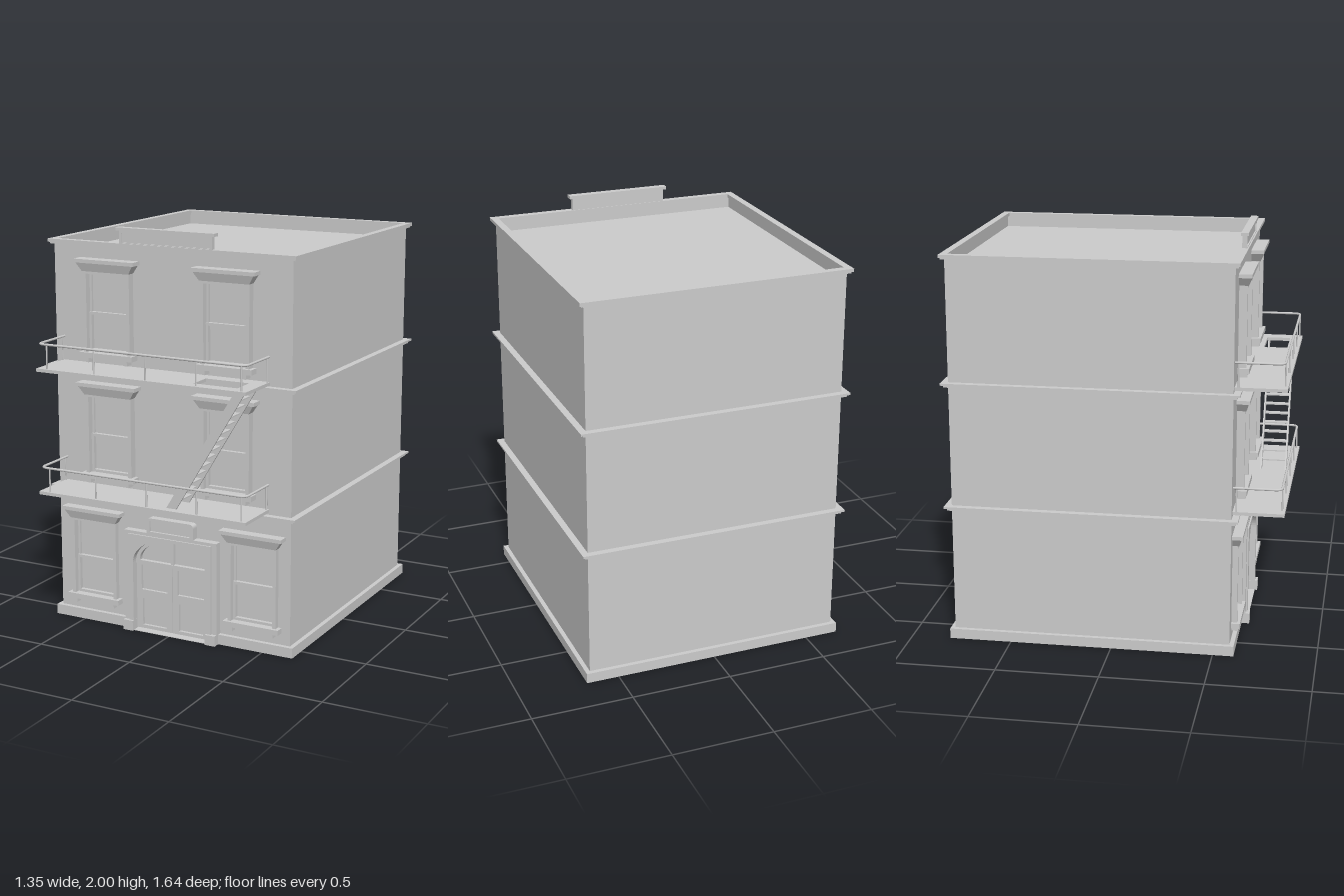
import * as THREE from 'three';

const material = new THREE.MeshStandardMaterial({ color: 0xcccccc, side: THREE.DoubleSide });
const X0 = -0.645, X1 = 0.64, Z0 = -0.785, Z1 = 0.58; // outer wall planes
const DOOR_X = 0.007;

function add(parent, name, geometry) {
  const mesh = new THREE.Mesh(geometry, material);
  mesh.name = name;
  parent.add(mesh);
  return mesh;
}

function box(parent, name, x0, x1, y0, y1, z0, z1) {
  const g = new THREE.BoxGeometry(x1 - x0, y1 - y0, z1 - z0);
  g.translate((x0 + x1) / 2, (y0 + y1) / 2, (z0 + z1) / 2);
  return add(parent, name, g);
}

function rect(x0, x1, y0, y1, Type = THREE.Shape) {
  return new Type([[x0, y0], [x1, y0], [x1, y1], [x0, y1]].map(([x, y]) => new THREE.Vector2(x, y)));
}

function extrude(parent, name, shape, z0, z1) {
  const g = new THREE.ExtrudeGeometry(shape, { depth: z1 - z0, bevelEnabled: false, curveSegments: 20 });
  g.translate(0, 0, z0);
  return add(parent, name, g);
}

// Rectangular moulding running around the walls
function ring(parent, name, out, y0, y1, inset = 0.005) {
  const s = rect(X0 - out, X1 + out, -Z1 - out, -Z0 + out);
  s.holes.push(rect(X0 + inset, X1 - inset, -Z1 + inset, -Z0 - inset, THREE.Path));
  const g = new THREE.ExtrudeGeometry(s, { depth: y1 - y0, bevelEnabled: false });
  g.rotateX(-Math.PI / 2).translate(0, y0, 0);
  return add(parent, name, g);
}

// Flat frame with a rectangular opening
function frame(parent, name, x0, x1, y0, y1, w, z0, z1) {
  const s = rect(x0, x1, y0, y1);
  s.holes.push(rect(x0 + w, x1 - w, y0 + w, y1 - w, THREE.Path));
  return extrude(parent, name, s, z0, z1);
}

// Door opening outline: straight jambs under a low elliptical arch
function archOutline(half, bottom, spring, rise, Type = THREE.Path) {
  const p = new Type();
  p.moveTo(DOOR_X - half, bottom);
  p.lineTo(DOOR_X + half, bottom);
  p.lineTo(DOOR_X + half, spring);
  p.absellipse(DOOR_X, spring, half, rise, 0, Math.PI, false, 0);
  p.lineTo(DOOR_X - half, bottom);
  return p;
}

// Sash window; origin at the middle of the cornice top, on the wall plane
function makeWindow(x, top, push) {
  const g = new THREE.Group();
  g.name = 'window';
  g.position.set(x, top, Z1 + push);
  box(g, 'cornice cap', -0.166, 0.166, -0.018, 0, -0.01, 0.064);
  const flare = new THREE.BoxGeometry(2, 0.042, 1);
  const p = flare.attributes.position;
  for (let i = 0; i < p.count; i++) {
    const up = p.getY(i) > 0;
    p.setX(i, Math.sign(p.getX(i)) * (up ? 0.158 : 0.13));
    p.setZ(i, p.getZ(i) > 0 ? (up ? 0.058 : 0.045) : -0.01);
  }
  flare.translate(0, -0.039, 0);
  flare.computeVertexNormals();
  add(g, 'cornice flare', flare);
  for (const s of [-1, 1]) {
    const a = s * 0.12;
    box(g, 'side casing', a - 0.009, a + 0.009, -0.455, -0.06, -0.01, 0.04);
    box(g, 'sill bracket', s * 0.108 - 0.007, s * 0.108 + 0.007, -0.505, -0.478, -0.01, 0.045);
  }
  box(g, 'head casing', -0.128, 0.128, -0.072, -0.06, -0.01, 0.04);
  box(g, 'sill', -0.148, 0.148, -0.481, -0.455, -0.01, 0.055);
  frame(g, 'upper sash', -0.112, 0.112, -0.275, -0.068, 0.012, -0.01, 0.006);
  frame(g, 'lower sash', -0.112, 0.112, -0.456, -0.26, 0.014, -0.005, 0.015);
  box(g, 'glass', -0.112, 0.112, -0.456, -0.068, -0.012, -0.006);
  return g;
}

function makeBalcony(y, hatch) {
  const g = new THREE.Group();
  g.name = 'balcony';
  const s = rect(-0.605, 0.525, -0.827, -Z1);
  if (hatch) s.holes.push(rect(0.225, 0.452, -0.767, -0.648, THREE.Path));
  const floor = new THREE.ExtrudeGeometry(s, { depth: 0.016, bevelEnabled: false });
  floor.rotateX(-Math.PI / 2).translate(0, y, 0);
  add(g, 'balcony floor', floor);
  // Handrail with rounded corners
  const v = (x, z) => new THREE.Vector3(x, y + 0.134, z);
  const l = -0.599, r = 0.519, f = 0.813, c = 0.035;
  const path = new THREE.CurvePath();
  path.add(new THREE.LineCurve3(v(l, Z1 - 0.01), v(l, f - c)));
  path.add(new THREE.QuadraticBezierCurve3(v(l, f - c), v(l, f), v(l + c, f)));
  path.add(new THREE.LineCurve3(v(l + c, f), v(r - c, f)));
  path.add(new THREE.QuadraticBezierCurve3(v(r - c, f), v(r, f), v(r, f - c)));
  path.add(new THREE.LineCurve3(v(r, f - c), v(r, Z1 - 0.01)));
  add(g, 'handrail', new THREE.TubeGeometry(path, 180, 0.006, 8));
  const posts = [[l, 0.597], [r, 0.597], [-0.55, f], [-0.287, f], [-0.006, f], [0.263, f], [0.497, f]];
  for (const [x, z] of posts) {
    add(g, 'railing post', new THREE.CylinderGeometry(0.004, 0.004, 0.13, 8)).position.set(x, y + 0.069, z);
  }
  return g;
}

function makeStair() {
  const g = new THREE.Group();
  g.name = 'fire stair';
  const s = new THREE.Shape([[0.085, 0.715], [0.138, 0.715], [0.5, 1.312], [0.447, 1.312]].map(([x, y]) => new THREE.Vector2(x, y)));
  extrude(g, 'stringer', s, 0.652, 0.66);
  extrude(g, 'stringer', s, 0.778, 0.786);
  for (let i = 0; i < 13; i++) {
    const t = (i + 1) / 14, x = 0.112 + 0.361 * t, y = 0.715 + 0.597 * t;
    box(g, 'tread', x - 0.018, x + 0.018, y - 0.003, y + 0.003, 0.66, 0.778);
  }
  return g;
}

function makeEntrance() {
  const g = new THREE.Group();
  g.name = 'entrance';
  const d = DOOR_X;
  // Stepped surround and rounded plaque
  const outer = rect(d - 0.257, d + 0.257, 0, 0.515);
  outer.holes.push(archOutline(0.204, 0.003, 0.355, 0.135));
  extrude(g, 'door surround', outer, 0.57, 0.62);
  const inner = rect(d - 0.23, d + 0.23, 0, 0.5);
  inner.holes.push(archOutline(0.204, 0.003, 0.355, 0.135));
  extrude(g, 'inner surround', inner, 0.6, 0.628);
  for (const s of [-1, 1]) {
    const a = d + s * 0.23;
    box(g, 'plinth', a - 0.027, a + 0.027, 0, 0.052, 0.58, 0.64);
  }
  const plaque = new THREE.Shape();
  plaque.moveTo(d - 0.13, 0.512);
  plaque.lineTo(d + 0.13, 0.512);
  plaque.lineTo(d + 0.13, 0.57);
  plaque.quadraticCurveTo(d + 0.13, 0.592, d + 0.108, 0.592);
  plaque.lineTo(d - 0.108, 0.592);
  plaque.quadraticCurveTo(d - 0.13, 0.592, d - 0.13, 0.57);
  plaque.holes.push(rect(d - 0.112, d + 0.112, 0.524, 0.578, THREE.Path));
  extrude(g, 'plaque frame', plaque, 0.575, 0.62);
  box(g, 'plaque panel', d - 0.112, d + 0.112, 0.524, 0.578, 0.575, 0.608);
  // Fanlight
  const fan = archOutline(0.204, 0.345, 0.355, 0.135, THREE.Shape);
  fan.holes.push(archOutline(0.182, 0.362, 0.363, 0.11));
  extrude(g, 'fanlight frame', fan, 0.572, 0.598);
  box(g, 'fanlight bar', d - 0.007, d + 0.007, 0.355, 0.478, 0.572, 0.594);
  extrude(g, 'fanlight glass', archOutline(0.204, 0.345, 0.355, 0.135, THREE.Shape), 0.57, 0.575);
  // Pair of panelled doors
  for (const s of [-1, 1]) {
    const c = d + s * 0.102;
    const leaf = rect(c - 0.1, c + 0.1, 0.008, 0.352);
    leaf.holes.push(rect(c - 0.073, c + 0.073, 0.21, 0.338, THREE.Path));
    leaf.holes.push(rect(c - 0.067, c + 0.067, 0.025, 0.165, THREE.Path));
    extrude(g, 'door leaf', leaf, 0.572, 0.595);
    box(g, 'door panels', c - 0.1, c + 0.1, 0.008, 0.345, 0.57, 0.58);
  }
  return g;
}

export function createModel() {
  const model = new THREE.Group();
  model.name = 'building';
  const windows = [[-0.437, 0.59, -0.012], [0.447, 0.59, -0.012]];
  for (const top of [1.235, 1.842]) windows.push([-0.333, top, 0], [0.308, top, 0]);

  // Hollow shell, open underneath
  const TOP = 1.91;
  const front = rect(X0, X1, 0, TOP);
  for (const [x, top] of windows) front.holes.push(rect(x - 0.115, x + 0.115, top - 0.46, top - 0.066, THREE.Path));
  front.holes.push(archOutline(0.204, 0.003, 0.355, 0.135));
  const wall = new THREE.ShapeGeometry(front, 20);
  wall.translate(0, 0, Z1);
  add(model, 'front wall', wall);
  const w = X1 - X0, d = Z1 - Z0, mx = (X0 + X1) / 2, mz = (Z0 + Z1) / 2;
  add(model, 'back wall', new THREE.PlaneGeometry(w, TOP).rotateY(Math.PI).translate(mx, TOP / 2, Z0));
  add(model, 'left wall', new THREE.PlaneGeometry(d, TOP).rotateY(Math.PI / 2).translate(X1, TOP / 2, mz));
  add(model, 'right wall', new THREE.PlaneGeometry(d, TOP).rotateY(-Math.PI / 2).translate(X0, TOP / 2, mz));
  add(model, 'roof', new THREE.PlaneGeometry(w, d).rotateX(-Math.PI / 2).translate(mx, 1.85, mz));

  // Base course, left open at the entrance
  const base = new THREE.Group();
  base.name = 'base course';
  model.add(base);
  const o = 0.022;
  box(base, 'back base', X0 - o, X1 + o, 0, 0.05, Z0 - o, Z0);
  box(base, 'right base', X0 - o, X0, 0, 0.05, Z0, Z1 + o);
  box(base, 'left base', X1, X1 + o, 0, 0.05, Z0, Z1 + o);
  box(base, 'front base', X0, DOOR_X - 0.25, 0, 0.05, Z1, Z1 + o);
  box(base, 'front base', DOOR_X + 0.25, X1, 0, 0.05, Z1, Z1 + o);

  // Floor bands and roof edge
  for (const y of [0.667, 1.285]) {
    ring(model, 'band lower step', 0.02, y, y + 0.012);
    ring(model, 'band upper step', 0.033, y + 0.012, y + 0.022);
  }
  ring(model, 'roof cornice', 0.016, 1.9, 1.908);
  ring(model, 'roof cornice cap', 0.024, 1.908, 1.924, 0.012);

  // Raised parapet
  const parapet = new THREE.Group();
  parapet.name = 'parapet';
  model.add(parapet);
  box(parapet, 'parapet block', -0.268, 0.232, 1.915, 1.986, 0.572, 0.59);
  frame(parapet, 'parapet border', -0.268, 0.232, 1.915, 1.986, 0.013, 0.588, 0.597);
  box(parapet, 'parapet cap', -0.283, 0.247, 1.985, 2, 0.567, 0.604);

  for (const args of windows) model.add(makeWindow(...args));
  model.add(makeEntrance(), makeBalcony(0.7, false), makeBalcony(1.312, true), makeStair());
  return model;
}
